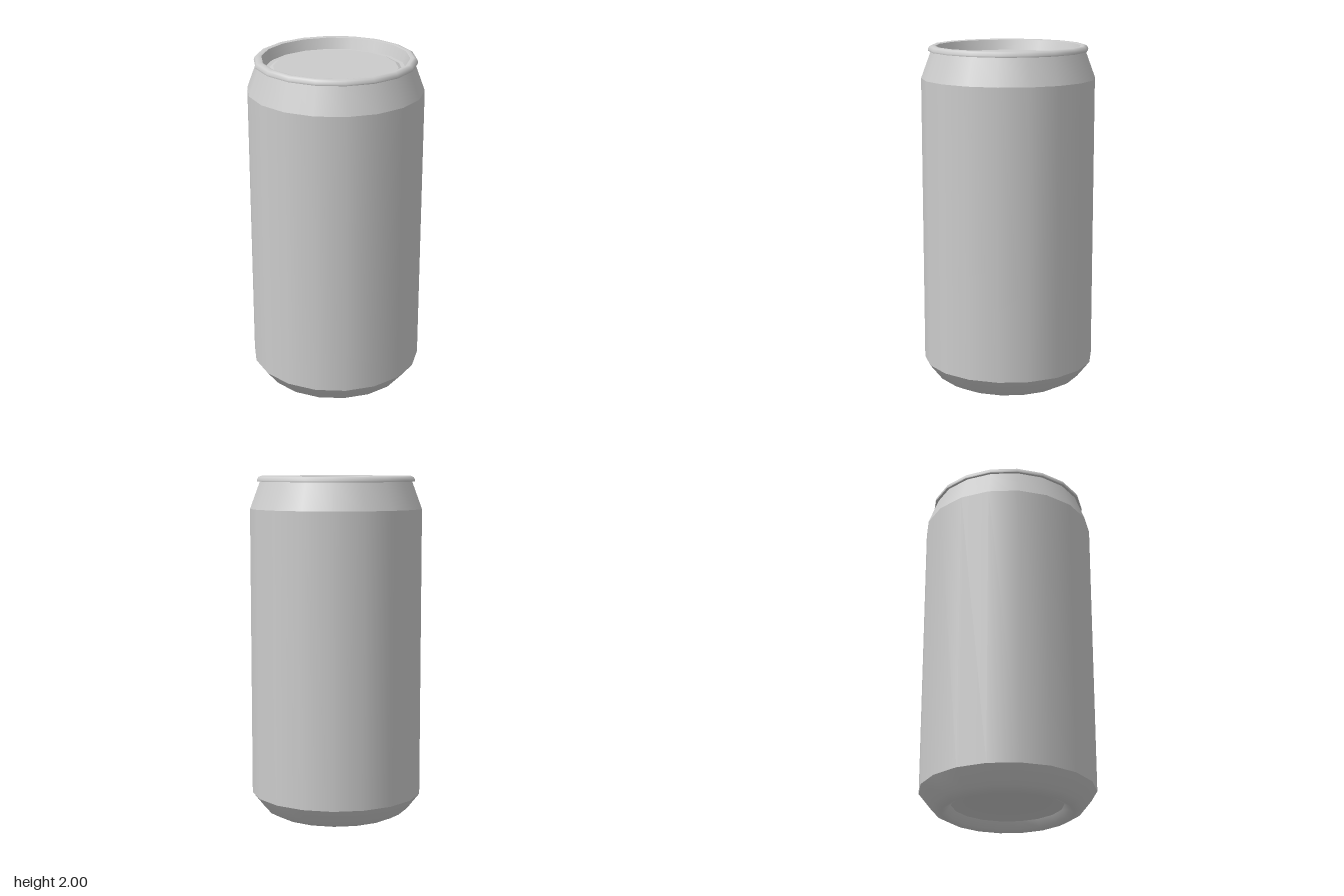
import * as THREE from 'three';

const SIDES = 18;

export function createModel() {
  const can = new THREE.Group();
  can.name = 'drinkCan';
  const metal = new THREE.MeshStandardMaterial({ color: 0xcccccc });

  // Each part is one turned profile of [radius, height]; normals are smooth
  // within a part and sharp where two parts meet.
  function turned(name, profile) {
    const points = profile.map(([r, y]) => new THREE.Vector2(r, y));
    const mesh = new THREE.Mesh(new THREE.LatheGeometry(points, SIDES, Math.PI / 2), metal);
    mesh.name = name;
    can.add(mesh);
  }

  // Underside: recessed dome, standing ring and bevel
  turned('baseDome', [[0, 0.09], [0.19, 0.09], [0.32, 0.055]]);
  turned('baseBevel', [[0.32, 0.055], [0.345, 0.015], [0.375, 0], [0.43, 0.03], [0.505, 0.125]]);

  // Straight wall and tapered neck
  turned('body', [[0.505, 0.125], [0.505, 1.81]]);
  turned('neck', [[0.505, 1.81], [0.447, 1.967]]);

  // Rolled rim
  turned('rimUnderside', [[0.447, 1.967], [0.462, 1.967]]);
  turned('rim', [[0.462, 1.967], [0.464, 1.976], [0.456, 1.993], [0.44, 2], [0.42, 1.995]]);

  // Recessed lid: inner wall, groove, raised step and flat panel
  turned('rimInnerWall', [[0.42, 1.995], [0.4, 1.932]]);
  turned('lidGroove', [[0.4, 1.932], [0.377, 1.93]]);
  turned('lidStep', [[0.377, 1.93], [0.355, 1.94]]);
  turned('lidPanel', [[0.355, 1.94], [0, 1.94]]);

  return can;
}
